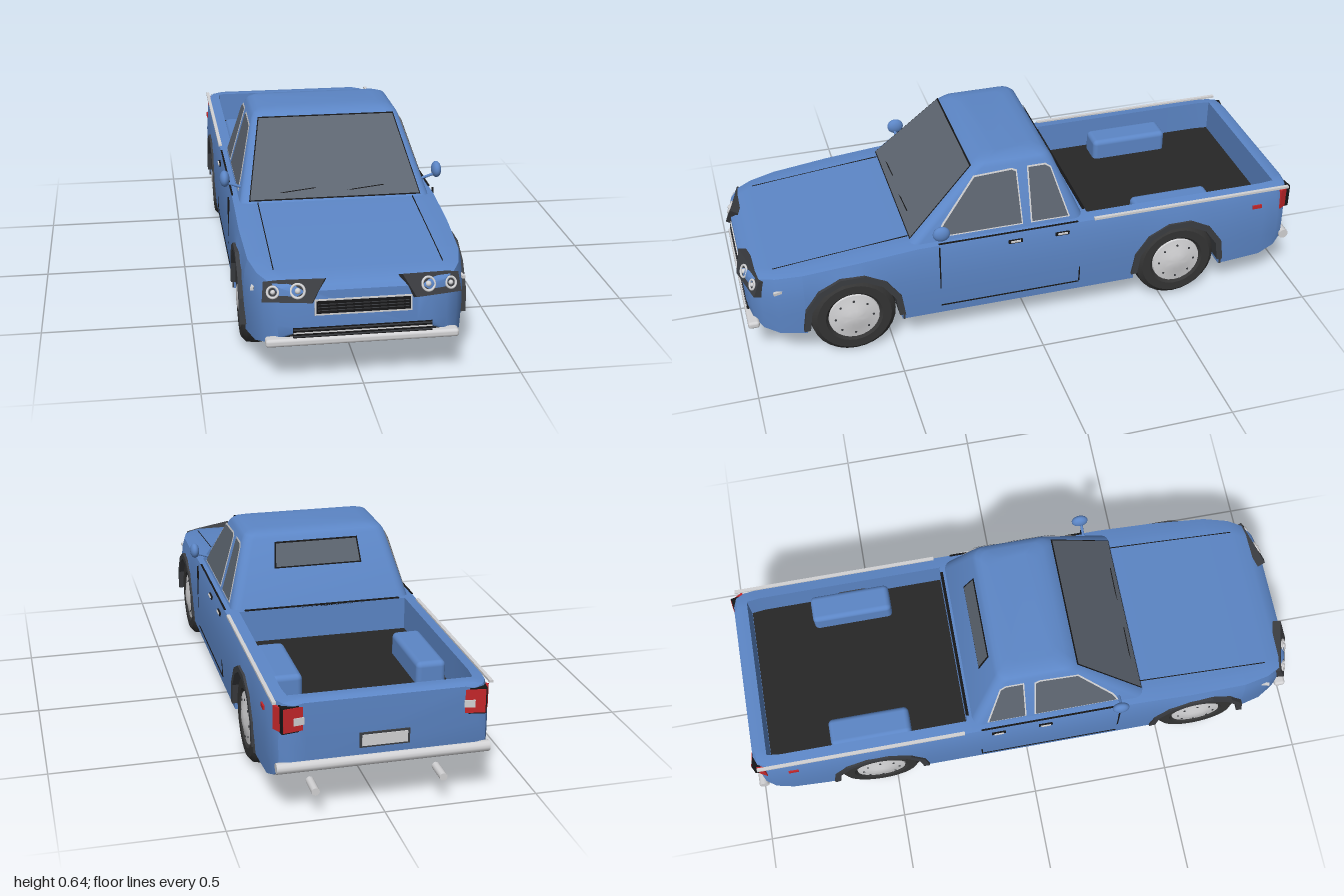
import * as THREE from 'three';
import { toCreasedNormals } from 'three/addons/utils/BufferGeometryUtils.js';
import { RoundedBoxGeometry } from 'three/addons/geometries/RoundedBoxGeometry.js';

const paint = (name, color, side = THREE.FrontSide) => {
  const m = new THREE.MeshStandardMaterial({ color, side });
  m.name = name;
  return m;
};

// Skin stretched over rings of [x, y, z] points, with flat end caps
function loft(rings, closed, capStart, capEnd) {
  const v = [], n = rings[0].length;
  const tri = (...p) => p.forEach((q) => v.push(...q));
  for (let s = 0; s < rings.length - 1; s++) {
    for (let i = 0; i < (closed ? n : n - 1); i++) {
      const j = (i + 1) % n;
      const a = rings[s][i], b = rings[s][j], c = rings[s + 1][j], d = rings[s + 1][i];
      tri(a, d, b);
      tri(b, d, c);
    }
  }
  const first = rings[0], last = rings[rings.length - 1];
  for (let i = 1; i < n - 1; i++) {
    if (capStart) tri(first[0], first[i], first[i + 1]);
    if (capEnd) tri(last[0], last[i + 1], last[i]);
  }
  const g = new THREE.BufferGeometry();
  g.setAttribute('position', new THREE.Float32BufferAttribute(v, 3));
  return toCreasedNormals(g, 0.6);
}

// Flat plate through a convex loop of points
function plate(points) {
  const v = [];
  for (let i = 1; i < points.length - 1; i++) v.push(...points[0], ...points[i], ...points[i + 1]);
  const g = new THREE.BufferGeometry();
  g.setAttribute('position', new THREE.Float32BufferAttribute(v, 3));
  g.computeVertexNormals();
  return g;
}

const box = (w, h, d) => new THREE.BoxGeometry(w, h, d);
const polygon = (pts) => new THREE.Shape(pts.map(([x, y]) => new THREE.Vector2(x, y)));

// Body stations: z, half width, top, bottom
const STATIONS = [
  [0.985, 0.21, 0.315, 0.185], [0.97, 0.262, 0.33, 0.16], [0.94, 0.3, 0.343, 0.135], [0.89, 0.328, 0.35, 0.12],
  [0.8, 0.349, 0.36, 0.115], [0.6, 0.358, 0.38, 0.112], [0.4, 0.358, 0.398, 0.112], [-0.2, 0.358, 0.4, 0.112],
  [-0.75, 0.357, 0.4, 0.112], [-0.88, 0.353, 0.4, 0.12], [-0.94, 0.345, 0.4, 0.145], [-0.968, 0.33, 0.4, 0.17],
  [-0.98, 0.3, 0.392, 0.2],
];
const AXLES = [0.635, -0.55], HUB_Y = 0.155, ARCH = 0.165, BED = [-0.215, -0.93], FLOOR = 0.28;

function section(z, isBed) {
  let k = 0;
  while (k < STATIONS.length - 2 && z < STATIONS[k + 1][0]) k++;
  const p = STATIONS[k], q = STATIONS[k + 1], t = (z - p[0]) / (q[0] - p[0]);
  const [w, top, base] = [1, 2, 3].map((i) => p[i] + (q[i] - p[i]) * t);
  let low = base;
  for (const a of AXLES) {
    const d = Math.abs(z - a);
    if (d < ARCH) low = Math.max(low, HUB_Y + Math.sqrt(ARCH * ARCH - d * d));
  }
  const deck = Math.min(0.3, w * 0.85);
  const half = [
    [Math.min(0.24, w * 0.8), low], [w * 0.985, low], [w, Math.max(low, 0.2)], [w, Math.max(low, 0.27)],
    [w * 0.985, top - 0.04], [w * 0.96, top - 0.007], [deck, top],
    isBed ? [deck, FLOOR] : [deck - 0.02, top], [0, isBed ? FLOOR : top],
  ];
  const mirrored = half.slice(0, -1).reverse().map(([x, y]) => [-x, y]);
  return [...half, ...mirrored].map(([x, y]) => [x, y, z]);
}

function bodyGeometry() {
  const zs = STATIONS.map((s) => s[0]);
  for (const a of AXLES) for (let i = 0; i <= 12; i++) zs.push(a + ARCH * 0.9999 * Math.cos((i * Math.PI) / 12));
  for (const a of AXLES) zs.push(a + ARCH + 0.001, a - ARCH - 0.001);
  const stops = [...zs, ...BED].sort((a, b) => b - a);
  const rings = [];
  for (const z of stops) {
    if (z === BED[0]) rings.push(section(z, false), section(z, true));
    else if (z === BED[1]) rings.push(section(z, true), section(z, false));
    else rings.push(section(z, z < BED[0] && z > BED[1]));
  }
  return loft(rings, false, true, true);
}

// Curved underside following the lower edge of the body
const undersideGeometry = (stations) => loft(
  stations.map(([z, w, , base]) => [[-w * 0.97, base - 0.003, z], [w * 0.97, base - 0.003, z]]), false, false, false);

// Cab planes: straight between the belt line and the roof edge
const cabAt = (y) => {
  const t = (y - 0.39) / 0.23;
  return { x: 0.324 - 0.066 * t, front: 0.43 - 0.24 * t, back: -0.2 + 0.1 * t };
};
function cabRing(y, x, front, back, r = 0.035) {
  const pts = [];
  for (let c = 0; c < 4; c++) {
    const cx = c === 0 || c === 3 ? x - r : r - x, cz = c < 2 ? front - r : back + r;
    for (let i = 0; i <= 5; i++) {
      const a = ((c + i / 5) * Math.PI) / 2;
      pts.push([cx + r * Math.cos(a), y, cz + r * Math.sin(a)]);
    }
  }
  return pts;
}

export function createModel() {
  const blue = paint('body blue', 0x5c86c6);
  const glass = paint('window grey', 0x5d6570, THREE.DoubleSide);
  const chrome = paint('bright metal', 0xd2d2d4, THREE.DoubleSide);
  const trim = paint('charcoal trim', 0x3b3d41, THREE.DoubleSide);
  const black = paint('black', 0x161617, THREE.DoubleSide);
  const under = paint('underbody', 0x43474e);
  const liner = paint('bed liner', 0x272727);
  const rubber = paint('tyre rubber', 0x343434);
  const red = paint('lamp red', 0xc4262a);

  const truck = new THREE.Group();
  truck.name = 'pickupTruck';
  const add = (name, geo, mat, pos = [0, 0, 0], rot = [0, 0, 0], parent = truck) => {
    const m = new THREE.Mesh(geo, mat);
    m.name = name;
    m.position.set(...pos);
    m.rotation.set(...rot);
    parent.add(m);
    return m;
  };

  // Body shell and cab
  add('body', bodyGeometry(), blue);
  const c0 = cabAt(0.39), c1 = cabAt(0.62);
  add('cab', loft([
    cabRing(0.39, c0.x, c0.front, c0.back), cabRing(0.62, c1.x, c1.front, c1.back),
    cabRing(0.633, 0.248, 0.172, -0.088), cabRing(0.641, 0.231, 0.15, -0.072), cabRing(0.645, 0.195, 0.12, -0.04),
  ], true, false, true), blue);

  // Windscreen and rear window
  const pane = (name, mat, xLow, xHigh, low, high, side, lift) => add(name, plate(
    [[-xLow, low], [xLow, low], [xHigh, high], [-xHigh, high]].map(([x, y]) => [x, y, cabAt(y)[side] + lift])), mat);
  pane('windscreenSeal', black, 0.293, 0.238, 0.402, 0.627, 'front', 0.003);
  pane('windscreen', glass, 0.289, 0.235, 0.406, 0.624, 'front', 0.005);
  pane('rearWindowSeal', black, 0.158, 0.15, 0.524, 0.61, 'back', -0.003);
  pane('rearWindow', glass, 0.152, 0.145, 0.529, 0.605, 'back', -0.005);
  for (const [x, len] of [[-0.15, 0.17], [0.08, 0.18]])
    add('wiper', box(len, 0.002, 0.003), black, [x, 0.425, cabAt(0.425).front + 0.007], [0, 0, 0.11]);

  // Bed floor and cab-side rail
  add('bedFloor', box(0.6, 0.006, 0.712), liner, [0, FLOOR + 0.002, -0.5725]);
  add('bedFrontRail', box(0.56, 0.006, 0.01), black, [0, 0.4, -0.21]);

  // Underbody
  add('chassis', box(0.48, 0.16, 1.66), under, [0, 0.187, 0.03]);
  add('floorPan', box(0.68, 0.02, 0.84), under, [0, 0.112, 0.043]);
  add('frontUnderside', undersideGeometry(STATIONS.slice(0, 5)), under);
  add('rearUnderside', undersideGeometry(STATIONS.slice(8)), under);

  // Tyre and hub cap profiles, arch trim outline
  const lathe = (pts, n) => toCreasedNormals(new THREE.LatheGeometry(pts.map((p) => new THREE.Vector2(...p)), n), 0.5);
  const tyre = lathe([[0.01, -0.05], [0.13, -0.05], [0.147, -0.035], [0.152, 0], [0.147, 0.035], [0.13, 0.05], [0.1, 0.05], [0.088, 0.038], [0, 0.038]], 28);
  const hubCap = lathe([[0.091, 0.036], [0.088, 0.046], [0.05, 0.052], [0.03, 0.058], [0, 0.06]], 24);
  const arc = (r, n) => Array.from({ length: n + 1 }, (_, i) => {
    const a = -0.1 + ((Math.PI + 0.2) * i) / n;
    return [r * Math.cos(a), r * Math.sin(a)];
  });
  const archTrim = new THREE.ExtrudeGeometry(polygon([...arc(0.178, 7), ...arc(0.156, 7).reverse()]), { depth: 0.118, bevelEnabled: false });
  const wellWall = new THREE.CircleGeometry(0.168, 16, 0, Math.PI);

  for (const s of [1, -1]) {
    for (const z of AXLES) {
      const wheel = new THREE.Group();
      wheel.name = 'wheel';
      wheel.position.set(s * 0.3, HUB_Y, z);
      wheel.rotation.z = (-s * Math.PI) / 2;
      truck.add(wheel);
      add('tyre', tyre, rubber, undefined, undefined, wheel);
      add('hubCap', hubCap, chrome, undefined, undefined, wheel);
      for (let i = 0; i < 8; i++) {
        const a = (i * Math.PI) / 4;
        add('hubHole', new THREE.CylinderGeometry(0.004, 0.004, 0.006, 8), trim, [0.066 * Math.cos(a), 0.049, 0.066 * Math.sin(a)], undefined, wheel);
      }
      add('wheelArch', archTrim, trim, [s > 0 ? 0.246 : -0.364, HUB_Y, z], [0, Math.PI / 2, 0]);
      add('wheelWell', wellWall, trim, [s * 0.243, HUB_Y, z], [0, Math.PI / 2, 0]);
      add('mudFlap', box(0.1, 0.05, 0.006), trim, [s * 0.308, 0.138, z - 0.172]);
    }
    add('wheelBox', new RoundedBoxGeometry(0.1, 0.13, 0.29, 3, 0.018), blue, [s * 0.24, 0.295, -0.56]);

    // Side windows: bright surround, then glass
    const side = (name, mat, pts, lift) => add(name, plate(pts.map(([z, y]) => [s * (cabAt(y).x + lift), y, z])), mat);
    side('doorWindowFrame', chrome, [[0.024, 0.409], [0.33, 0.409], [0.31, 0.453], [0.186, 0.602], [0.05, 0.608], [0.032, 0.6]], 0.003);
    side('doorWindow', glass, [[0.029, 0.414], [0.322, 0.414], [0.304, 0.451], [0.183, 0.597], [0.051, 0.603], [0.037, 0.596]], 0.005);
    side('quarterWindowFrame', chrome, [[-0.004, 0.409], [-0.146, 0.409], [-0.09, 0.594], [-0.07, 0.608], [-0.004, 0.608]], 0.003);
    side('quarterWindow', glass, [[-0.009, 0.414], [-0.139, 0.414], [-0.086, 0.591], [-0.068, 0.603], [-0.009, 0.603]], 0.005);

    // Door gaps, handles and bonnet gap
    add('doorGapFront', box(0.006, 0.17, 0.004), black, [s * 0.356, 0.305, 0.33]);
    add('doorGapRear', box(0.006, 0.06, 0.004), black, [s * 0.356, 0.18, -0.175]);
    add('doorGapBottom', box(0.006, 0.004, 0.505), black, [s * 0.354, 0.145, 0.078]);
    add('beltGap', box(0.006, 0.003, 0.5), black, [s * 0.342, 0.396, 0.08]);
    for (const z of [0.06, -0.11]) {
      add('handleRecess', box(0.008, 0.012, 0.05), black, [s * 0.352, 0.364, z]);
      add('doorHandle', box(0.01, 0.006, 0.035), chrome, [s * 0.355, 0.366, z]);
    }
    add('bonnetGap', box(0.003, 0.004, 0.49), black, [s * 0.264, 0.374, 0.645], [0.1, 0, 0]);
    add('bedSideRail', box(0.012, 0.008, 0.74), chrome, [s * 0.342, 0.396, -0.6]);

    // Door mirror
    add('mirror', new THREE.SphereGeometry(1, 18, 12), blue, [s * 0.367, 0.455, 0.325]).scale.set(0.017, 0.028, 0.03);
    add('mirrorStalk', new THREE.CylinderGeometry(0.005, 0.005, 0.07, 8), blue, [s * 0.333, 0.432, 0.33], [0, 0, -s * 1.25]);

    // Headlamp cluster, leaning back into the bonnet
    const lamp = new THREE.Group();
    lamp.name = 'headlamp';
    lamp.position.set(s * 0.2, 0.315, 0.979);
    lamp.rotation.order = 'YXZ';
    lamp.rotation.set(-0.4, s * 0.28, 0);
    truck.add(lamp);
    const outline = polygon([[-0.045, -0.034], [0.108, -0.04], [0.108, 0.022], [0.06, 0.03], [-0.08, 0.043]].map(([x, y]) => [s * x, y]));
    add('lampHousing', new THREE.ExtrudeGeometry(outline, { depth: 0.03, bevelEnabled: false }), trim, [0, 0, -0.03], undefined, lamp);
    for (const [x, y, r] of [[0, 0, 0.021], [0.076, -0.008, 0.017]]) {
      add('lampRing', new THREE.TorusGeometry(r, 0.004, 8, 20), chrome, [s * x, y, 0.002], undefined, lamp);
      add('lampLens', new THREE.SphereGeometry(r * 0.45, 12, 8), chrome, [s * x, y, 0.001], undefined, lamp);
    }
    add('sideIndicator', box(0.01, 0.01, 0.03), chrome, [s * 0.328, 0.295, 0.885], [0, s * 0.25, 0]);

    // Tail lamp and side marker
    add('tailLampSeal', box(0.1, 0.086, 0.03), black, [s * 0.276, 0.342, -0.966], [0, s * 0.16, 0]);
    add('tailLamp', box(0.092, 0.078, 0.03), red, [s * 0.276, 0.342, -0.968], [0, s * 0.16, 0]);
    add('tailLampLens', box(0.034, 0.024, 0.004), chrome, [s * 0.27, 0.335, -0.9835], [0, s * 0.16, 0]);
    add('tailLampSide', box(0.01, 0.078, 0.03), red, [s * 0.331, 0.342, -0.958], [0, s * 0.5, 0]);
    add('sideMarker', box(0.008, 0.014, 0.035), red, [s * 0.351, 0.336, -0.85]);
    add('underPanel', box(0.17, 0.012, 0.13), black, [s * 0.145, 0.1, 0.03]);
  }

  // Grille and lower intake
  add('grilleFrame', box(0.3, 0.052, 0.012), chrome, [0, 0.261, 0.983]);
  add('grille', box(0.29, 0.041, 0.012), black, [0, 0.262, 0.985]);
  for (let i = 0; i < 3; i++) add('grilleSlat', box(0.28, 0.002, 0.004), trim, [0, 0.252 + i * 0.01, 0.991]);
  add('lowerIntake', box(0.43, 0.036, 0.02), black, [0, 0.178, 0.976]);
  for (let i = 0; i < 3; i++) add('intakeSlat', box(0.43, 0.004, 0.008), i === 1 ? chrome : trim, [0, 0.168 + i * 0.011, 0.984]);

  // Bumpers, number plate and exhausts
  add('frontBumper', new RoundedBoxGeometry(0.6, 0.026, 0.04, 2, 0.01), chrome, [0, 0.15, 0.974]);
  add('rearBumper', new THREE.CylinderGeometry(0.018, 0.018, 0.68, 12), chrome, [0, 0.183, -0.978], [0, 0, Math.PI / 2]);
  add('plateFrame', box(0.16, 0.05, 0.008), trim, [0, 0.25, -0.98]);
  add('rearPlate', box(0.145, 0.037, 0.008), chrome, [0, 0.25, -0.983]);
  for (const [x, z] of [[-0.19, -0.955], [0.22, -0.955], [0.22, -0.78]])
    add('exhaust', new THREE.CylinderGeometry(0.013, 0.013, 0.08, 12), chrome, [x, 0.098, z], [Math.PI / 2, 0, 0]);

  return truck;
}
